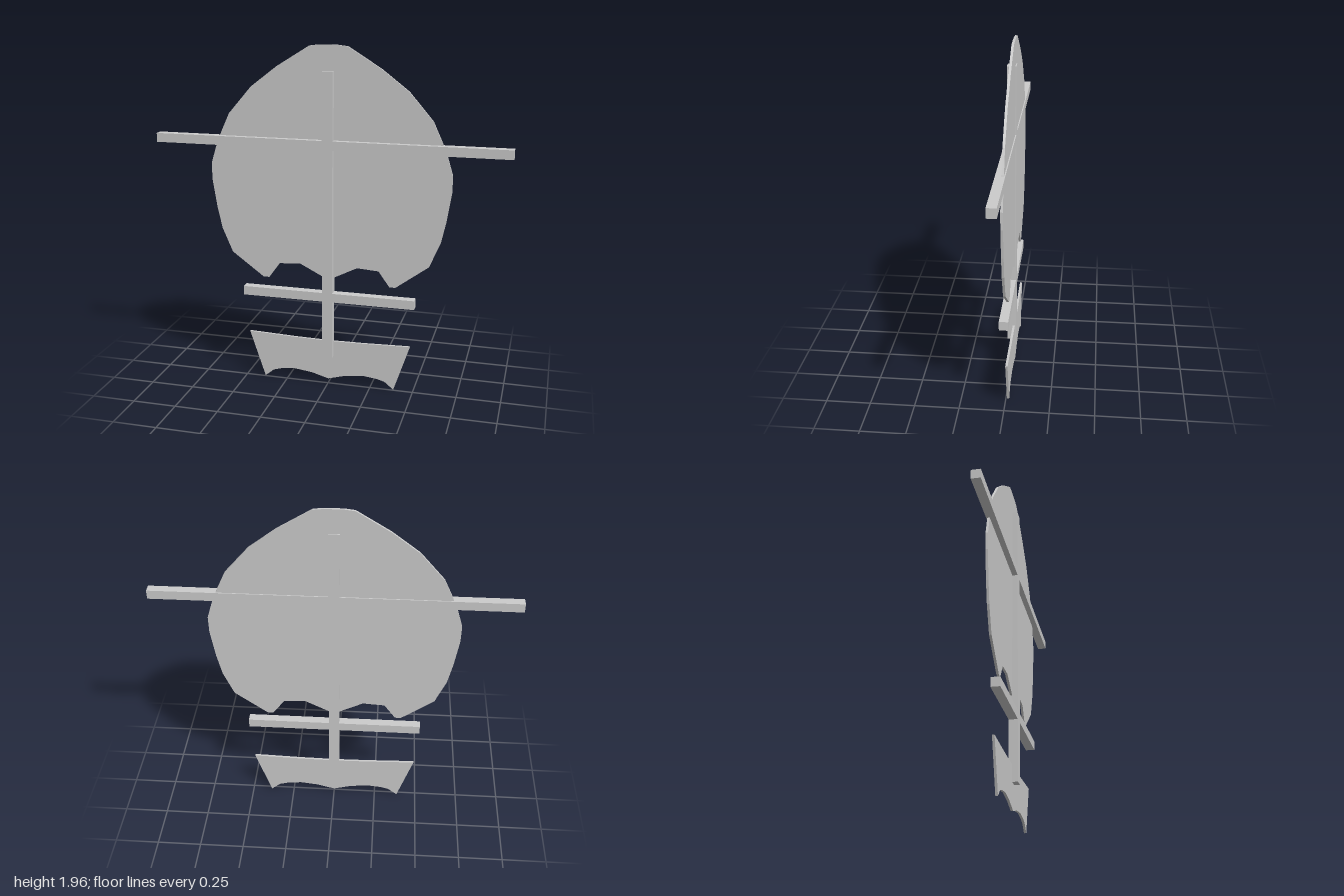
import * as THREE from 'three';

const material = new THREE.MeshStandardMaterial({ color: 0xcccccc, flatShading: true });

// Extrudes a left-right symmetric plate; half lists the +x outline from top to bottom.
function symmetricPlate(name, half, zBack, zFront) {
  const mirrored = half.filter(([x]) => x > 0).map(([x, y]) => [-x, y]).reverse();
  const shape = new THREE.Shape([...half, ...mirrored].map(([x, y]) => new THREE.Vector2(x, y)));
  const geometry = new THREE.ExtrudeGeometry(shape, { depth: zFront - zBack, bevelEnabled: false });
  geometry.translate(0, 0, zBack);
  const mesh = new THREE.Mesh(geometry, material);
  mesh.name = name;
  return mesh;
}

export function createModel() {
  const group = new THREE.Group();
  group.name = 'mastAndSails';

  // Mast and its two crossbars as one flush frame
  const w = 0.03;
  group.add(symmetricPlate('mastFrame', [
    [w, 1.822],
    [w, 1.447], [1, 1.447], [1, 1.396], [w, 1.396],
    [w, 0.57], [0.5, 0.57], [0.5, 0.518], [w, 0.518],
    [w, 0.174],
  ], -0.025, 0.025));

  // Large rounded sail with a notched lower edge
  group.add(symmetricPlate('mainSail', [
    [0, 1.96], [0.05, 1.96], [0.107, 1.953], [0.29, 1.84], [0.44, 1.725],
    [0.572, 1.572], [0.626, 1.455], [0.655, 1.38], [0.684, 1.285], [0.683, 1.19],
    [0.658, 1.027], [0.631, 0.904], [0.572, 0.765], [0.387, 0.628],
    [0.353, 0.628], [0.289, 0.717], [0.166, 0.725], [0.03, 0.656], [0, 0.645],
  ], -0.019, -0.006));

  // Small lower sail with a scalloped bottom
  group.add(symmetricPlate('lowerSail', [
    [0, 0.267], [0.2, 0.27], [0.478, 0.279], [0.387, 0.003], [0.335, 0.046],
    [0.29, 0.059], [0.205, 0.069], [0.1, 0.056], [0, 0.028],
  ], -0.019, -0.006));

  return group;
}
